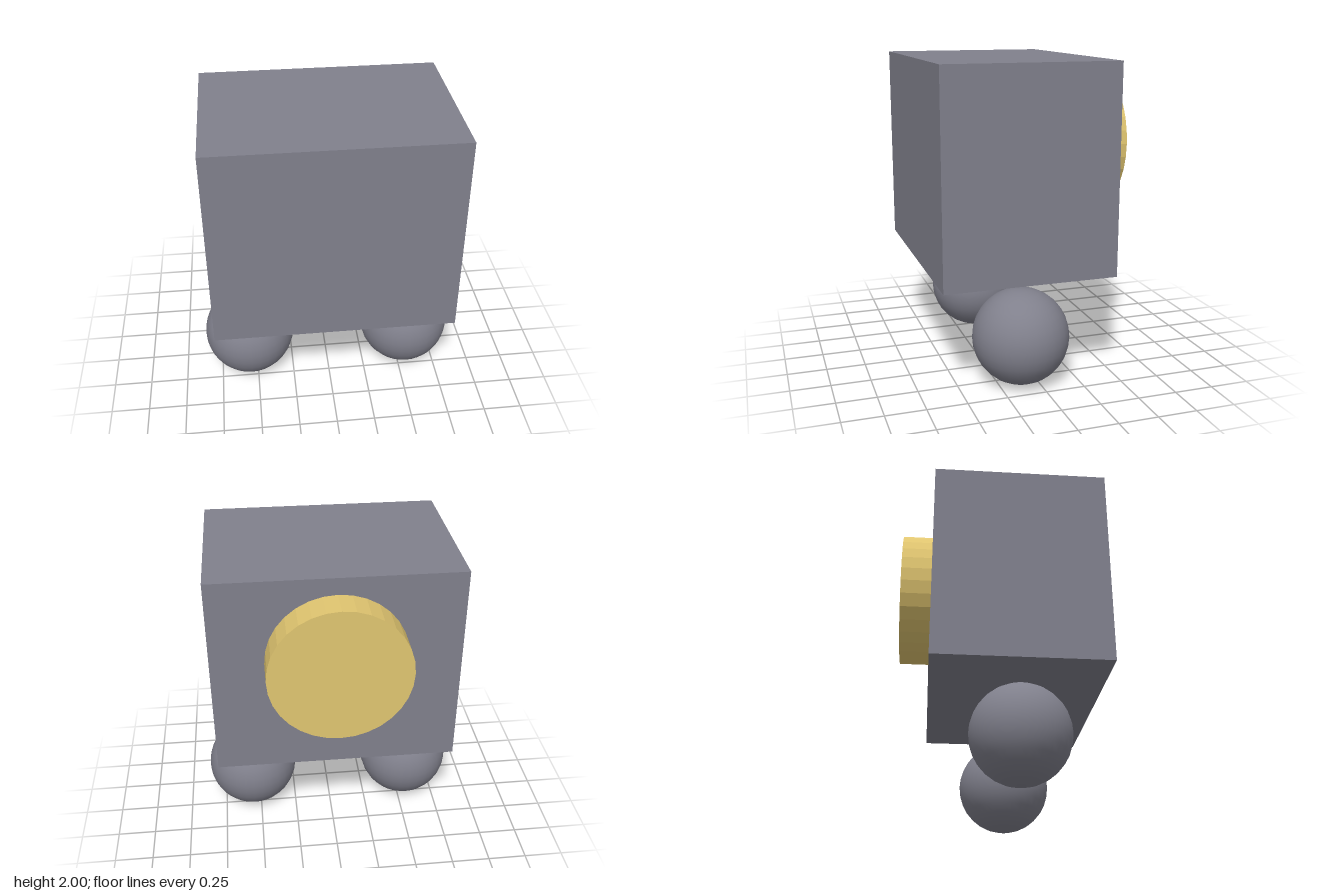
import * as THREE from 'three';

export function createModel() {
  const group = new THREE.Group();
  const grey = new THREE.MeshStandardMaterial({ name: 'slateGrey', color: 0x80808c });
  const gold = new THREE.MeshStandardMaterial({ name: 'gold', color: 0xe0c570 });

  const add = (name, geometry, material, x, y, z) => {
    const mesh = new THREE.Mesh(geometry, material);
    mesh.name = name;
    mesh.position.set(x, y, z);
    group.add(mesh);
    return mesh;
  };

  // Main box
  add('body', new THREE.BoxGeometry(1.52, 1.3, 1.085), grey, 0, 1.35, 0.0975);

  // Round feet floating below the box
  const foot = new THREE.SphereGeometry(0.304, 32, 16);
  for (const side of [-1, 1]) {
    add(side > 0 ? 'leftFoot' : 'rightFoot', foot, grey, side * 0.543, 0.305, 0.1);
  }

  // Faceted disc on the back
  const disc = new THREE.CylinderGeometry(0.435, 0.435, 0.197, 32).toNonIndexed();
  disc.rotateX(Math.PI / 2);
  disc.computeVertexNormals();
  add('backDisc', disc, gold, 0, 1.46, -0.5435);

  return group;
}
